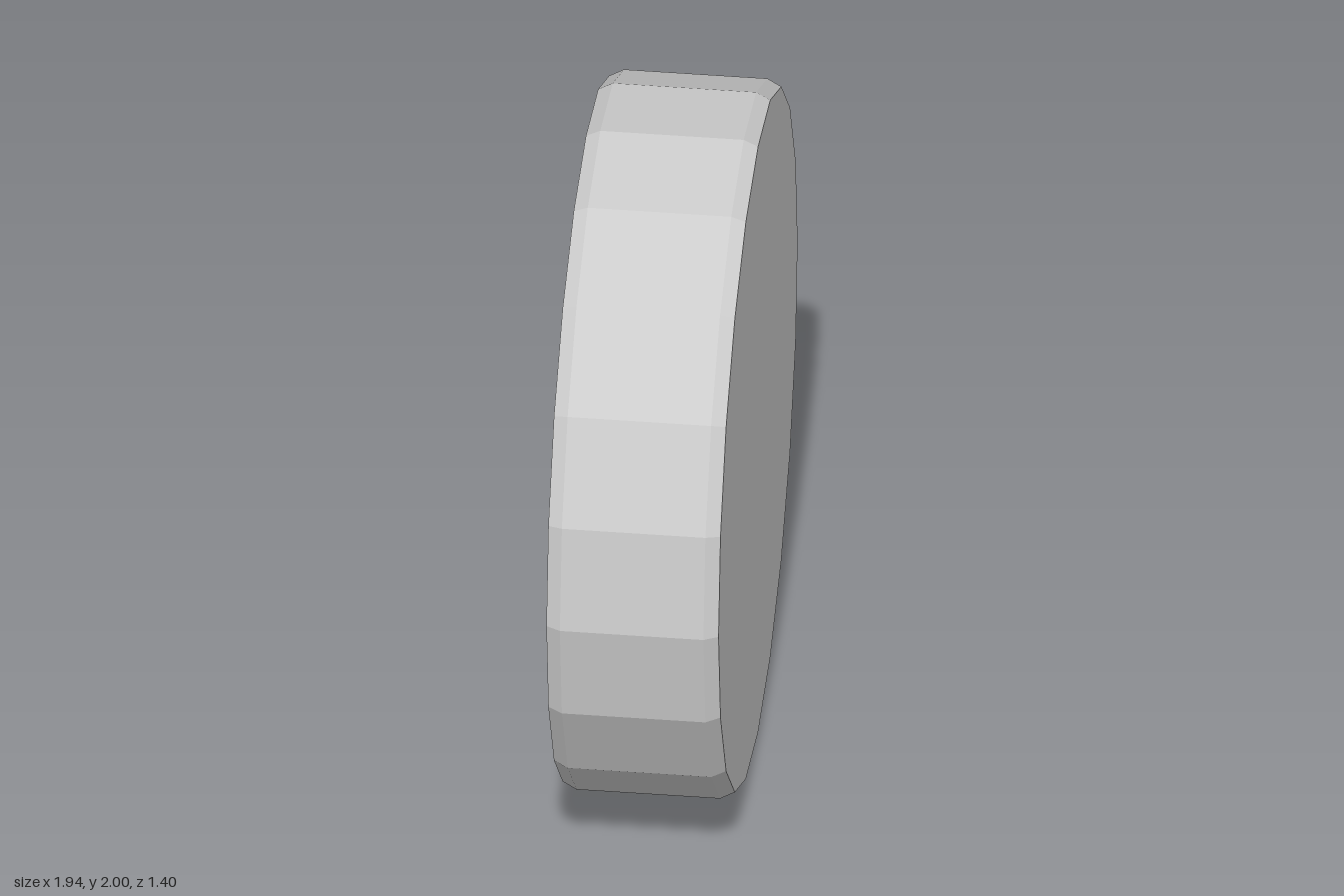
import * as THREE from 'three';

const material = new THREE.MeshStandardMaterial({ color: 0xcccccc, flatShading: true });
const polar = (r, a) => new THREE.Vector2(r * Math.cos(a), r * Math.sin(a));

function addMesh(parent, name, geometry) {
  const mesh = new THREE.Mesh(geometry, material);
  mesh.name = name;
  parent.add(mesh);
  return mesh;
}

// Turned part around the z axle; profile points are [radius, z]
function turned(profile, sides) {
  const points = profile.map(([r, z]) => new THREE.Vector2(r, z));
  return new THREE.LatheGeometry(points, sides).rotateX(Math.PI / 2);
}

// Prism with its axis on z and one corner pointing up
function prism(radius, depth, sides) {
  return new THREE.CylinderGeometry(radius, radius, depth, sides)
    .rotateY(Math.PI).rotateX(Math.PI / 2);
}

export function createModel() {
  const model = new THREE.Group();
  model.name = 'wheel';

  // Tyre: flat closed back, bevelled tread and flat sidewall
  addMesh(model, 'tyre', turned([
    [0, -0.24], [0.98, -0.24], [1, -0.2], [1, 0.2], [0.98, 0.24], [0.85, 0.24],
  ], 20));

  // Rim: sloped lip, small step, well and floor behind the spokes
  addMesh(model, 'rim', turned([
    [0.85, 0.24], [0.71, 0.19], [0.69, 0.165], [0.69, 0.09], [0, 0.09],
  ], 20));

  // Five-armed spoke plate with an opening for the hub
  const plateFront = 0.165, plateDepth = 0.04;
  const step = Math.PI * 2 / 5, armHalf = 0.166;
  const outline = [];
  for (let i = 0; i < 5; i++) {
    const arm = Math.PI / 2 + i * step;
    outline.push(polar(0.695, arm - armHalf), polar(0.695, arm + armHalf),
      polar(0.44, arm + step / 2));
  }
  const star = new THREE.Shape(outline);
  const opening = [];
  for (let i = 0; i < 12; i++) opening.push(polar(0.325, -i * Math.PI / 6));
  star.holes.push(new THREE.Path(opening));
  addMesh(model, 'spokes',
    new THREE.ExtrudeGeometry(star, { depth: plateDepth, bevelEnabled: false })
      .translate(0, 0, plateFront - plateDepth));

  // Recessed hub dish and centre cap
  const hubFloor = 0.135;
  addMesh(model, 'hubDish', turned([[0.325, plateFront], [0.29, hubFloor], [0, hubFloor]], 12));
  addMesh(model, 'centreCap', prism(0.135, 0.05, 20)).position.z = hubFloor + 0.015;

  // Five wheel nuts
  for (let i = 0; i < 5; i++) {
    const p = polar(0.215, Math.PI / 2 + i * step);
    addMesh(model, 'wheelNut', prism(0.042, 0.05, 5)).position.set(p.x, p.y, hubFloor + 0.015);
  }

  // Stand on the ground, turned about the vertical
  model.position.y = 1;
  model.rotation.y = Math.PI * 7 / 6;
  const root = new THREE.Group();
  root.name = 'turnedWheel';
  root.add(model);
  return root;
}
